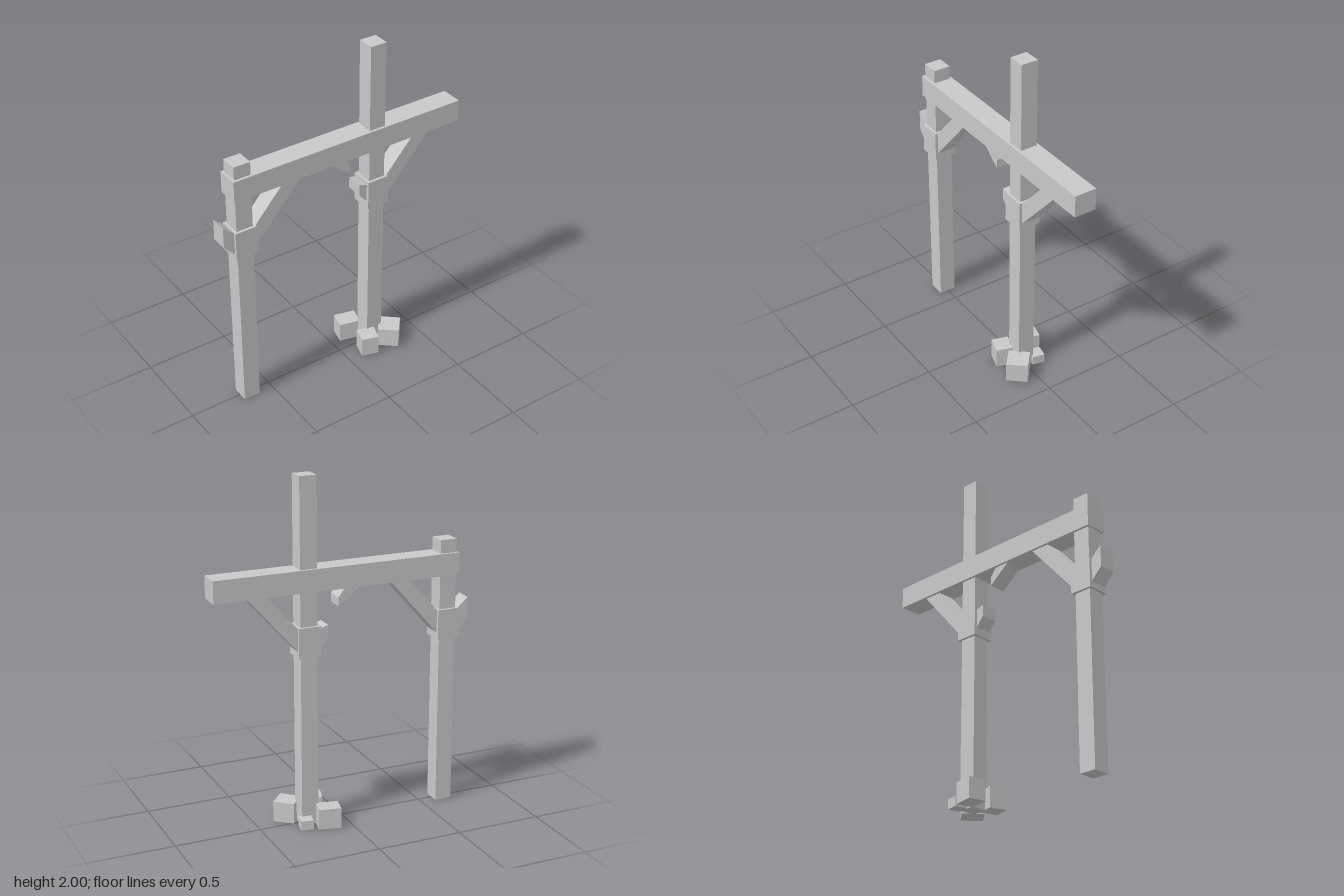
import * as THREE from 'three';

export function createModel() {
  const model = new THREE.Group();
  model.name = 'ruinedTimberFrame';
  const timber = new THREE.MeshStandardMaterial({ color: 0xc8c8c8 });
  timber.name = 'plain grey timber';

  function add(name, geometry) {
    const mesh = new THREE.Mesh(geometry, timber);
    mesh.name = name;
    model.add(mesh);
    return mesh;
  }

  // Upright box standing at height y0, centred on x and z
  function box(name, x, z, w, d, y0, y1, turn = 0) {
    const mesh = add(name, new THREE.BoxGeometry(w, y1 - y0, d));
    mesh.position.set(x, (y0 + y1) / 2, z);
    mesh.rotation.y = THREE.MathUtils.degToRad(turn);
  }

  // Timber with a side outline in x and y, centred on z
  function plank(name, outline, depth = 0.1, x = 0) {
    const shape = new THREE.Shape(outline.map(([px, py]) => new THREE.Vector2(px, py)));
    const geometry = new THREE.ExtrudeGeometry(shape, { depth, bevelEnabled: false });
    add(name, geometry.translate(x, 0, -depth / 2));
  }

  const posts = [
    { side: 'right', x: -0.638, top: 1.57 },
    { side: 'left', x: 0.214, top: 2 },
  ];

  // Posts, collars and the whole diagonal braces
  for (const { side, x, top } of posts) {
    box(side + 'Post', x, 0, 0.1, 0.1, 0, top);
    box(side + 'Collar', x, 0, 0.132, 0.132, 0.997, 1.17);
    plank(side + 'Brace', [[0.06, 1.03], [0.358, 1.367], [0.245, 1.367], [0.06, 1.16]], 0.1, x);
  }

  // Crossbeam
  box('crossbeam', 0.031, 0, 1.462, 0.13, 1.365, 1.492);

  // Snapped brace stumps
  plank('rightBrokenBrace', [[-0.68, 1.01], [-0.68, 1.145], [-0.768, 1.222], [-0.768, 1.098]]);
  plank('leftBrokenBrace', [[0.16, 1.03], [0.16, 1.148], [0.1, 1.167], [0.1, 1.098]]);
  plank('beamBrokenBrace', [[-0.095, 1.367], [0.038, 1.265], [0.038, 1.315], [0, 1.367]]);

  // Stones packed around the foot of the tall post
  box('backStone', 0.126, -0.104, 0.128, 0.102, 0, 0.12, -13);
  box('frontStone', 0.144, 0.085, 0.104, 0.1, 0, 0.12, -17);
  box('cornerStone', 0.302, 0.081, 0.124, 0.124, 0, 0.12, -41);
  box('smallStone', 0.253, -0.079, 0.072, 0.074, 0, 0.055, -11);

  return model;
}
